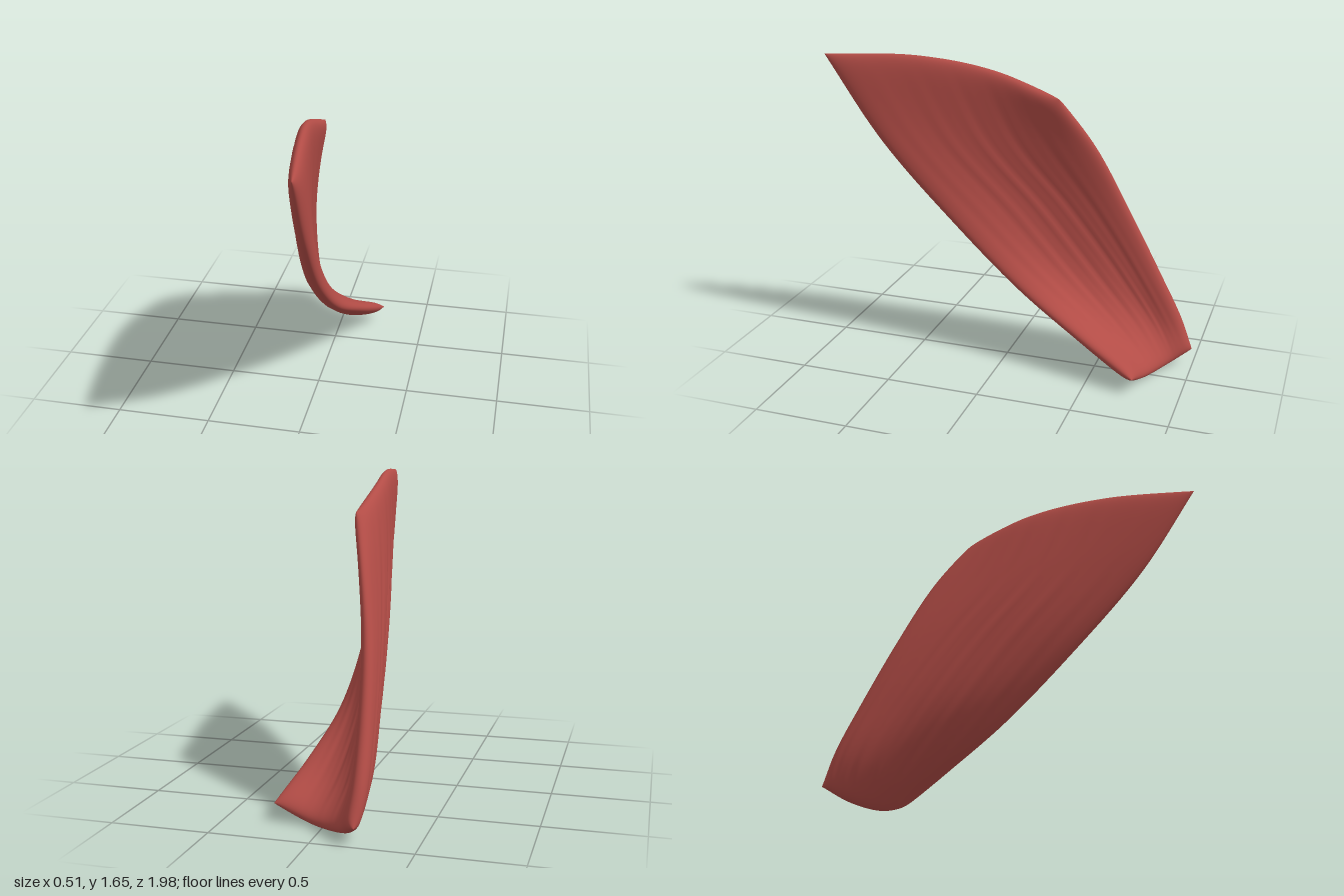
import * as THREE from 'three';
import { mergeVertices } from 'three/addons/utils/BufferGeometryUtils.js';

// Mid-surface stations from the wide upper end to the twisted lower end,
// each running from the rear edge to the front edge.
const STATIONS = [
  [[-0.02, 1.46, -0.27], [-0.03, 1.585, 0.1], [0.02, 1.645, 0.5], [0.09, 1.635, 0.99]],
  [[-0.1, 1.2, -0.45], [-0.085, 1.22, -0.05], [-0.02, 1.22, 0.3], [0.075, 1.18, 0.68]],
  [[-0.17, 0.85, -0.625], [-0.145, 0.85, -0.33], [-0.075, 0.82, -0.04], [0.06, 0.75, 0.28]],
  [[-0.205, 0.5, -0.8], [-0.18, 0.5, -0.58], [-0.09, 0.46, -0.34], [0.095, 0.43, -0.1]],
  [[-0.215, 0.25, -0.925], [-0.18, 0.21, -0.77], [-0.04, 0.18, -0.62], [0.17, 0.24, -0.44]],
  [[-0.21, 0.08, -0.99], [-0.12, 0.015, -0.88], [0.04, 0.01, -0.8], [0.255, 0.085, -0.76]],
];
const HALF_THICKNESS = 0.043;
const NU = 72;
const NV = 64;

const curveOf = (pts) => new THREE.CatmullRomCurve3(pts);
const rows = STATIONS.map((s) => curveOf(s.map((p) => new THREE.Vector3(...p))));

// Samples crowd toward the edges so the rims come out round
const ease = (s) => (1 - Math.cos(Math.PI * s)) / 2;
const rim = (t, power) => Math.sqrt(Math.max(0, 1 - Math.abs(2 * t - 1) ** power));

// Shallow grooves following the fibres, deeper on the inner face
function groove(u, v, side) {
  const fade = Math.sin(Math.PI * u) * Math.sin(Math.PI * v);
  const wave = Math.sin(u * 46 + 1.5 * Math.sin(v * 4)) + 0.7 * Math.sin(u * 83 + 2 * v);
  return (side > 0 ? 0.0022 : 0.0045) * fade * wave;
}

function fanGeometry() {
  const ring = 2 * NU;
  const positions = [];
  const fibres = [];
  for (let i = 0; i <= NU; i++) {
    const at = (u) => curveOf(rows.map((r) => r.getPoint(THREE.MathUtils.clamp(u, 0, 1))));
    const u = ease(i / NU);
    fibres.push({ u, mid: at(u), before: at(u - 0.01), after: at(u + 0.01) });
  }
  for (let j = 0; j <= NV; j++) {
    const v = ease(j / NV);
    for (let k = 0; k < ring; k++) {
      const side = k <= NU ? 1 : -1;
      const { u, mid, before, after } = fibres[side > 0 ? k : ring - k];
      const across = after.getPoint(v).sub(before.getPoint(v));
      const along = mid.getPoint(Math.min(1, v + 0.01)).sub(mid.getPoint(Math.max(0, v - 0.01)));
      const normal = across.cross(along).normalize();
      const h = (HALF_THICKNESS + groove(u, v, side)) * rim(u, 9) * rim(v, 18);
      const p = mid.getPoint(v).addScaledVector(normal, side * h);
      positions.push(p.x, p.y, p.z);
    }
  }
  const index = [];
  for (let j = 0; j < NV; j++) {
    for (let k = 0; k < ring; k++) {
      const a = j * ring + k;
      const b = j * ring + ((k + 1) % ring);
      index.push(a, b, a + ring, b, b + ring, a + ring);
    }
  }
  let geometry = new THREE.BufferGeometry();
  geometry.setAttribute('position', new THREE.Float32BufferAttribute(positions, 3));
  geometry.setIndex(index);
  geometry = mergeVertices(geometry, 1e-5);
  geometry.computeVertexNormals();
  return geometry;
}

export function createModel() {
  const group = new THREE.Group();
  group.name = 'fanMuscle';
  const muscleRed = new THREE.MeshStandardMaterial({ color: 0xb24c46 });
  muscleRed.name = 'muscleRed';
  const body = new THREE.Mesh(fanGeometry(), muscleRed);
  body.name = 'muscleBody';
  group.add(body);
  return group;
}
